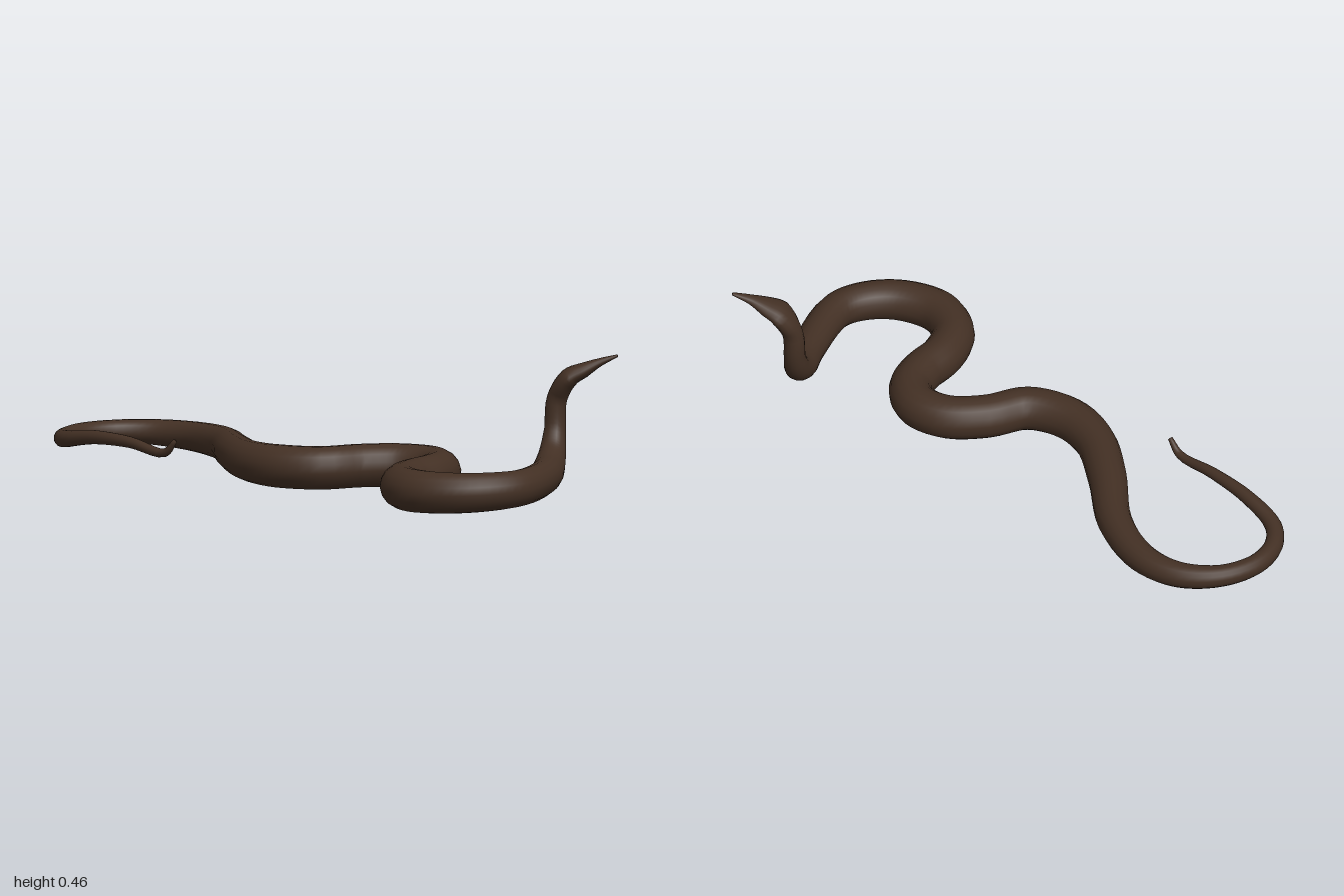
import * as THREE from 'three';

// Spine from tail tip through the coils to the raised snout
const spine = [
  [-0.29, 0.128, -0.365], [-0.287, 0.085, -0.41], [-0.27, 0.102, -0.57], [-0.252, 0.1, -0.74],
  [-0.22, 0.077, -0.88], [-0.15, 0.067, -0.945], [-0.04, 0.065, -0.967], [0.08, 0.063, -0.922],
  [0.165, 0.059, -0.81], [0.177, 0.058, -0.66], [0.1, 0.062, -0.475], [-0.055, 0.067, -0.3],
  [-0.17, 0.069, -0.14], [-0.2, 0.071, 0], [-0.15, 0.072, 0.135], [-0.03, 0.072, 0.205],
  [0.06, 0.072, 0.3], [0.08, 0.072, 0.41], [0.03, 0.072, 0.488], [-0.06, 0.072, 0.522],
  [-0.17, 0.071, 0.53], [-0.28, 0.071, 0.58], [-0.335, 0.072, 0.69], [-0.3, 0.074, 0.82],
  [-0.215, 0.077, 0.906], [-0.11, 0.08, 0.939], [0.1, 0.085, 0.872], [0.195, 0.101, 0.817],
  [0.255, 0.143, 0.783], [0.287, 0.21, 0.766], [0.295, 0.31, 0.768], [0.312, 0.38, 0.805],
  [0.338, 0.406, 0.845], [0.368, 0.431, 0.885], [0.408, 0.454, 0.932],
];

// [spine point number, radius]
const girth = [
  [0, 0.008], [1, 0.014], [4, 0.028], [7, 0.036], [9, 0.049], [11, 0.064], [13, 0.071], [17, 0.072],
  [22, 0.071], [25, 0.06], [27, 0.052], [29, 0.036], [31, 0.032], [32, 0.025], [33, 0.014], [34, 0.004],
];

// [spine point number, extra half width of the head]
const flare = [[30, 0], [30.5, 0.018], [31, 0.028], [32, 0.018], [33, 0.007], [34, 0.002]];

// Linear lookup in a profile, held constant before its first point
function profile(points, at) {
  if (at <= points[0][0]) return points[0][1];
  const k = Math.max(1, points.findIndex(p => p[0] >= at));
  const [a, va] = points[k - 1], [b, vb] = points[k];
  return va + (vb - va) * (at - a) / (b - a);
}

// Sweeps the section along the spine
function sweptBody(stepsPerPoint, sides) {
  const path = new THREE.CatmullRomCurve3(spine.map(p => new THREE.Vector3(...p)));
  const headSide = new THREE.Vector3(0.84, 0, -0.54).normalize();
  const normal = new THREE.Vector3(1, 0, 0);
  const steps = (spine.length - 1) * stepsPerPoint;
  const positions = [], index = [];

  for (let i = 0; i <= steps; i++) {
    const centre = path.getPoint(i / steps), tangent = path.getTangent(i / steps);
    const radius = profile(girth, i / stepsPerPoint), widen = profile(flare, i / stepsPerPoint);
    // carry the section frame along without twisting
    normal.addScaledVector(tangent, -normal.dot(tangent)).normalize();
    const binormal = new THREE.Vector3().crossVectors(tangent, normal);
    for (let j = 0; j < sides; j++) {
      const a = (j / sides) * Math.PI * 2;
      const d = normal.clone().multiplyScalar(Math.cos(a)).addScaledVector(binormal, Math.sin(a));
      const p = centre.clone().addScaledVector(d, radius).addScaledVector(headSide, d.dot(headSide) * widen);
      positions.push(p.x, p.y, p.z);
    }
  }
  for (let i = 0; i < steps; i++) {
    for (let j = 0; j < sides; j++) {
      const a = i * sides + j, b = i * sides + (j + 1) % sides;
      index.push(a, b, a + sides, b, b + sides, a + sides);
    }
  }
  // close the tail tip and the snout
  const tail = positions.length / 3, snout = tail + 1, last = steps * sides;
  positions.push(...path.getPoint(0).toArray(), ...path.getPoint(1).toArray());
  for (let j = 0; j < sides; j++) {
    const k = (j + 1) % sides;
    index.push(tail, k, j, snout, last + j, last + k);
  }

  const geometry = new THREE.BufferGeometry();
  geometry.setAttribute('position', new THREE.Float32BufferAttribute(positions, 3));
  geometry.setIndex(index);
  geometry.computeVertexNormals();
  return geometry;
}

export function createModel() {
  const group = new THREE.Group();
  group.name = 'snake';
  const darkBrown = new THREE.MeshStandardMaterial({ color: 0x433024 });
  darkBrown.name = 'darkBrown';

  // one continuous skin: tail, coils, raised neck and head
  const body = new THREE.Mesh(sweptBody(5, 16), darkBrown);
  body.name = 'snakeBody';
  group.add(body);
  return group;
}
